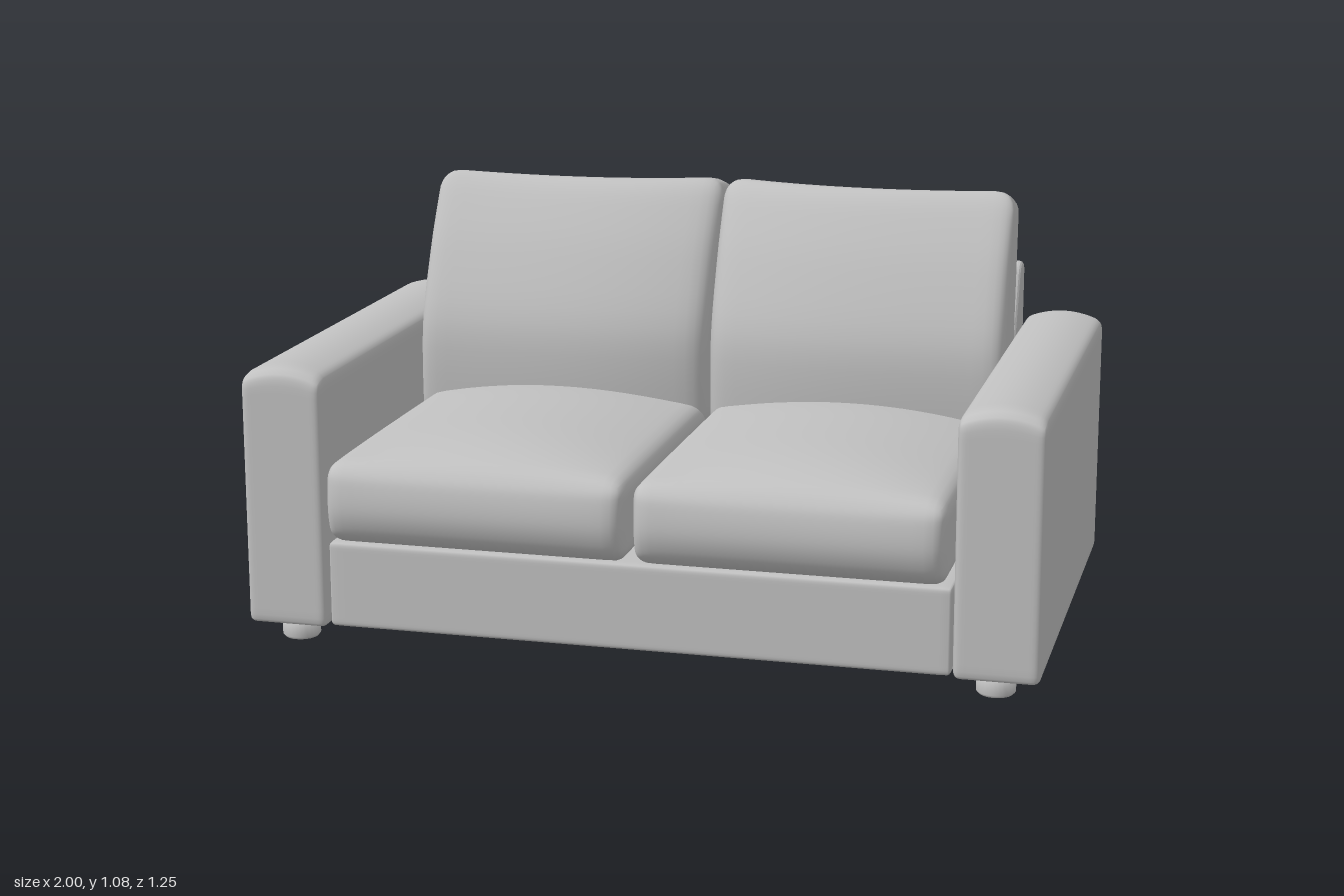
import * as THREE from 'three';
import { mergeVertices } from 'three/addons/utils/BufferGeometryUtils.js';

const { clamp, lerp } = THREE.MathUtils;

// Rounded block whose grid tightens towards its edges; warp(p, u, v, w) then
// moves each point, with u, v, w running -1..1 along x, y, z.
function paddedBlock([w, h, d], radius, warp, seg = 24) {
  const geo = new THREE.BoxGeometry(2, 2, 2, seg, seg, seg);
  geo.deleteAttribute('uv');
  geo.deleteAttribute('normal');
  geo.clearGroups();
  const pos = geo.attributes.position;
  const half = new THREE.Vector3(w / 2, h / 2, d / 2);
  const limit = half.clone().subScalar(radius);
  const p = new THREE.Vector3();
  const core = new THREE.Vector3();
  for (let i = 0; i < pos.count; i++) {
    p.fromBufferAttribute(pos, i);
    for (const a of ['x', 'y', 'z']) {
      p[a] = half[a] * Math.sin(p[a] * Math.PI / 2);
      core[a] = clamp(p[a], -limit[a], limit[a]);
    }
    p.sub(core).setLength(radius).add(core);
    if (warp) warp(p, p.x / half.x, p.y / half.y, p.z / half.z);
    pos.setXYZ(i, p.x, p.y, p.z);
  }
  const merged = mergeVertices(geo, 1e-5);
  merged.computeVertexNormals();
  return merged;
}

// Piecewise-smooth lookup of z for a height, from a few [z, y] points
function profile(points) {
  const curve = new THREE.SplineCurve(points.map(([z, y]) => new THREE.Vector2(z, y)));
  const samples = curve.getPoints(60);
  return y => {
    let i = 0;
    while (i < samples.length - 2 && samples[i + 1].y < y) i++;
    const a = samples[i], b = samples[i + 1];
    return lerp(a.x, b.x, clamp((y - a.y) / (b.y - a.y), 0, 1));
  };
}

export function createModel() {
  const group = new THREE.Group();
  const fabric = new THREE.MeshStandardMaterial({ color: 0xc0c0c0 });
  fabric.name = 'grey fabric';

  const add = (name, geo, x = 0, y = 0, z = 0) => {
    const mesh = new THREE.Mesh(geo, fabric);
    mesh.name = name;
    mesh.position.set(x, y, z);
    group.add(mesh);
  };

  // Seat base
  add('seatBase', paddedBlock([1.57, 0.22, 1.16], 0.012), 0, 0.168, -0.02);

  // Backrest frame: upright behind, sloping in front
  const bevel = 0.012;
  const side = new THREE.Shape();
  side.moveTo(-0.603, 0.07);
  side.lineTo(-0.603, 0.825);
  side.quadraticCurveTo(-0.6, 0.843, -0.58, 0.843);
  side.lineTo(-0.57, 0.843);
  side.quadraticCurveTo(-0.55, 0.843, -0.54, 0.815);
  side.lineTo(-0.31, 0.27);
  side.lineTo(-0.31, 0.07);
  const back = new THREE.ExtrudeGeometry(side, {
    depth: 1.57 - 2 * bevel, bevelSize: bevel, bevelThickness: bevel, bevelSegments: 3, curveSegments: 8,
  });
  back.translate(0, 0, -0.785 + bevel).rotateY(-Math.PI / 2);
  add('backrestFrame', back);

  // Cushion profiles in [z, y], bottom to top
  const frontZ = profile([[-0.15, 0.42], [-0.138, 0.6], [-0.15, 0.72], [-0.215, 0.88], [-0.27, 0.98], [-0.335, 1.08]]);
  const backZ = profile([[-0.42, 0.42], [-0.455, 0.56], [-0.49, 0.72], [-0.525, 0.9], [-0.54, 1.0], [-0.535, 1.08]]);

  for (const s of [1, -1]) {
    const label = s > 0 ? 'left' : 'right';

    // Arm with a gently arched top
    add(label + 'Arm', paddedBlock([0.21, 0.64, 1.2], 0.02, (p, u, v, w) => {
      const top = Math.max(0, v);
      p.y += 0.025 * (1 - u * u) * top ** 4;
      p.y -= 0.02 * top ** 4 * Math.max(0, (w - 0.93) / 0.07) ** 2;
    }), s * 0.895, 0.375, -0.023);

    // Seat cushion: crowned top, bulging front
    add(label + 'SeatCushion', paddedBlock([0.765, 0.21, 0.94], 0.04, (p, u, v, w) => {
      if (v > 0) p.y += 0.055 * v * (1 - u * u) * (1 - w ** 4);
      if (w > 0) p.z += 0.026 * w ** 8 * (1 - v * v) * (1 - 0.3 * u ** 4);
      if (v < 0) p.z -= 0.02 * v * v * Math.max(0, w) ** 4;
    }), s * 0.392, 0.387, 0.13);

    // Back cushion: leaning, turned slightly towards the middle
    add(label + 'BackCushion', paddedBlock([0.785, 0.66, 0.28], 0.05, (p, u, v, w) => {
      const y = 0.75 + p.y;
      const out = (u * s + 1) / 2;
      const puff = 1 - u * u;
      const t = (w + 1) / 2;
      const zf = frontZ(y) - 0.05 * (1 - out) * (1 - puff) - 0.015 * out * (1 - puff);
      const zb = backZ(y) + 0.085 * out;
      p.z = lerp(zb, zf, t);
      const top = Math.max(0, v) ** 4;
      p.y = y - top * (0.035 * (1 - t) ** 2 + 0.008 * puff);
      p.x += s * 0.006 * (1 - v) * out;
    }), s * 0.394, 0, 0);

    // Round feet, each with a small glide beneath
    for (const z of [0.5, -0.55]) {
      const foot = [[0, 0], [0.012, 0], [0.012, 0.008], [0.042, 0.009], [0.048, 0.016], [0.048, 0.06], [0, 0.06]];
      add(label + (z > 0 ? 'FrontFoot' : 'RearFoot'),
        new THREE.LatheGeometry(foot.map(([r, y]) => new THREE.Vector2(r, y)), 28), s * 0.887, 0, z);
    }
  }
  return group;
}
